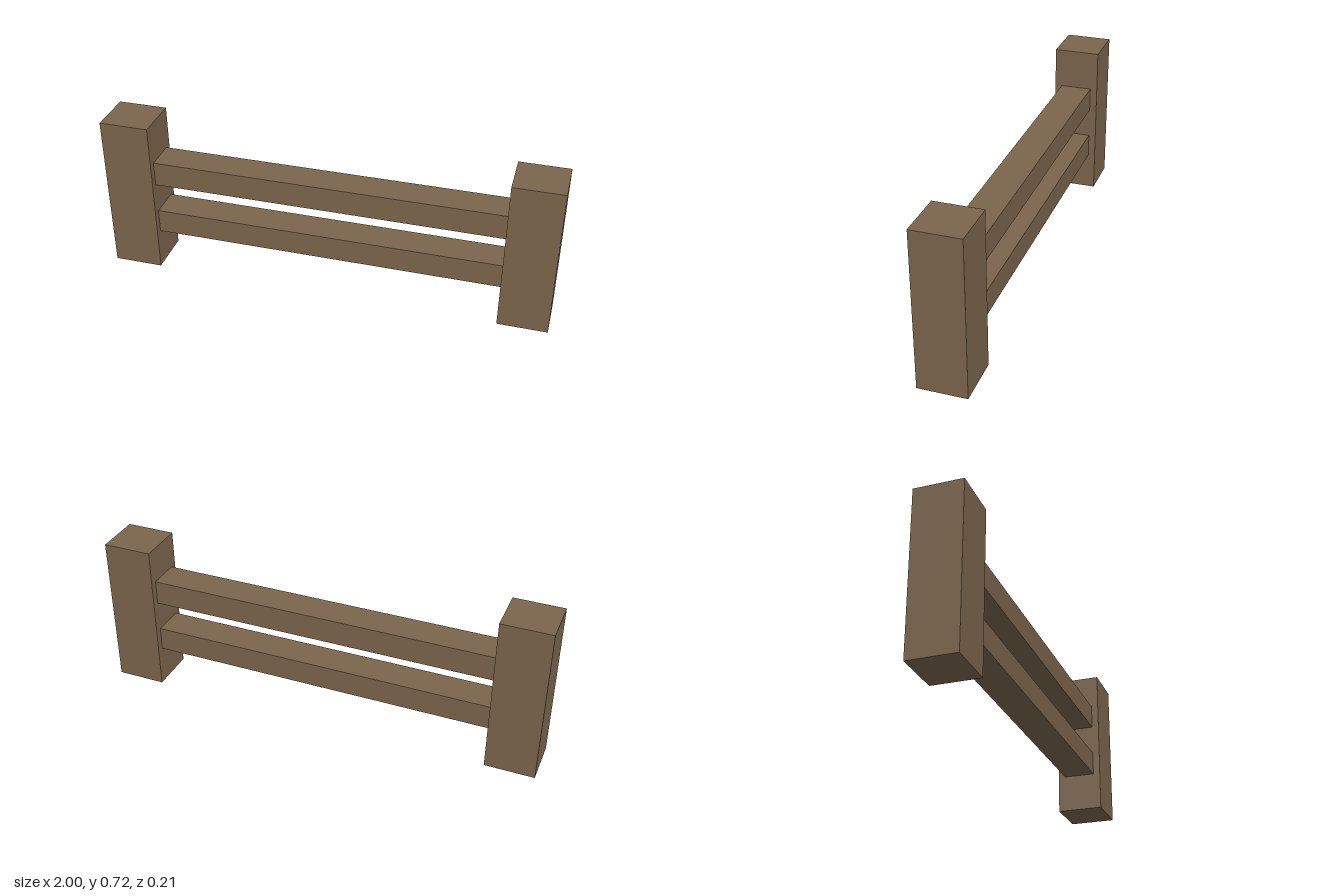
import * as THREE from 'three';

export function createModel() {
  const group = new THREE.Group();
  const wood = new THREE.MeshStandardMaterial({ color: 0x7b654c });
  wood.name = 'brownWood';

  // Box spanning y0..y1, centred on z
  const beam = (name, x, y0, y1, width, depth) => {
    const mesh = new THREE.Mesh(new THREE.BoxGeometry(width, y1 - y0, depth), wood);
    mesh.name = name;
    mesh.position.set(x, (y0 + y1) / 2, 0);
    group.add(mesh);
  };

  // Posts, one slightly taller
  beam('rightPost', -0.89, 0, 0.717, 0.22, 0.21);
  beam('leftPost', 0.89, 0, 0.692, 0.22, 0.21);

  // Horizontal rails between the posts
  beam('lowerRail', 0, 0.174, 0.284, 1.56, 0.145);
  beam('upperRail', 0, 0.421, 0.533, 1.56, 0.145);

  return group;
}
